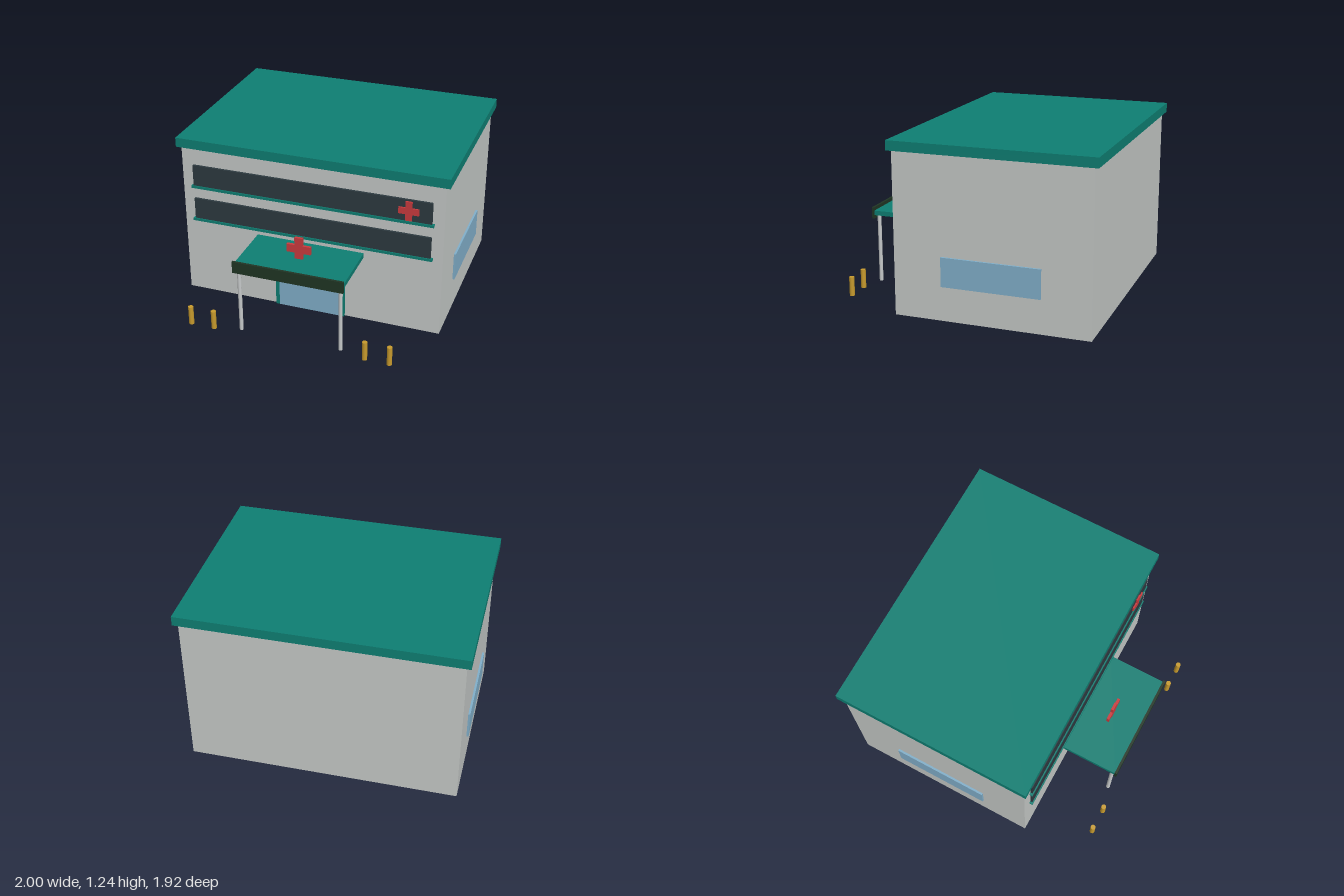
import * as THREE from 'three';

const mat = (name, color) => {
  const m = new THREE.MeshStandardMaterial({ color });
  m.name = name;
  return m;
};

export function createModel() {
  const wall = mat('wall grey', 0xc5c9c7);
  const teal = mat('teal', 0x0e7f73);
  const dark = mat('dark window', 0x2d3a40);
  const glass = mat('blue glass', 0x81afca);
  const fascia = mat('dark green', 0x203524);
  const red = mat('red', 0xcb3b3e);
  const yellow = mat('bollard yellow', 0xc89b2d);
  const metal = mat('post grey', 0xc9cccd);

  const group = new THREE.Group();
  group.name = 'clinic';

  const add = (name, geometry, material) => {
    const mesh = new THREE.Mesh(geometry, material);
    mesh.name = name;
    group.add(mesh);
    return mesh;
  };
  // Box given by its extents on each axis
  const box = (name, material, [x0, x1], [y0, y1], [z0, z1]) =>
    add(name, new THREE.BoxGeometry(x1 - x0, y1 - y0, z1 - z0), material)
      .position.set((x0 + x1) / 2, (y0 + y1) / 2, (z0 + z1) / 2);
  // Upright cylinder standing on the ground
  const pole = (name, material, r, h, sides, x, z) =>
    add(name, new THREE.CylinderGeometry(r, r, h, sides), material).position.set(x, h / 2, z);
  // Plus-shaped plate, extruded along z
  const cross = (name, size, arm, depth, x, y, z) => {
    const s = size / 2, a = arm / 2;
    const outline = [[-a, -s], [a, -s], [a, -a], [s, -a], [s, a], [a, a],
      [a, s], [-a, s], [-a, a], [-s, a], [-s, -a], [-a, -a]];
    const shape = new THREE.Shape(outline.map(([px, py]) => new THREE.Vector2(px, py)));
    const geometry = new THREE.ExtrudeGeometry(shape, { depth, bevelEnabled: false });
    add(name, geometry, red).position.set(x, y, z);
  };

  // Main block and overhanging flat roof
  box('building', wall, [-0.97, 0.97], [0, 1.17], [-0.93, 0.48]);
  box('roof', teal, [-1, 1], [1.17, 1.24], [-0.96, 0.507]);

  // Long window bands with sills
  for (const y of [0.61, 0.875]) {
    box('windowBand', dark, [-0.885, 0.885], [y, y + 0.162], [0.48, 0.497]);
    box('windowSill', teal, [-0.9, 0.9], [y - 0.017, y + 0.002], [0.48, 0.505]);
  }
  cross('wallCross', 0.145, 0.048, 0.012, 0.722, 0.955, 0.496);

  // Entrance: frame with two glass doors
  box('doorFrame', teal, [-0.265, 0.265], [0, 0.46], [0.48, 0.497]);
  box('leftDoor', glass, [0, 0.235], [0.003, 0.42], [0.48, 0.501]);
  box('rightDoor', glass, [-0.235, 0], [0.003, 0.42], [0.48, 0.501]);

  // Canopy
  box('canopy', teal, [-0.402, 0.402], [0.517, 0.552], [0.48, 0.92]);
  box('canopyFascia', fascia, [-0.405, 0.405], [0.49, 0.577], [0.916, 0.934]);
  cross('canopyCross', 0.178, 0.06, 0.02, 0, 0.628, 0.685);

  // Mirrored parts: posts, side windows and bollards
  for (const side of [-1, 1]) {
    pole('canopyPost', metal, 0.015, 0.517, 8, side * 0.373, 0.89);
    const xs = [side * 0.965, side * 0.985].sort((a, b) => a - b);
    box('sideWindow', glass, xs, [0.25, 0.46], [-0.58, 0.13]);
    for (const x of [0.565, 0.742]) pole('bollard', yellow, 0.019, 0.142, 12, side * x, 0.941);
  }
  return group;
}
